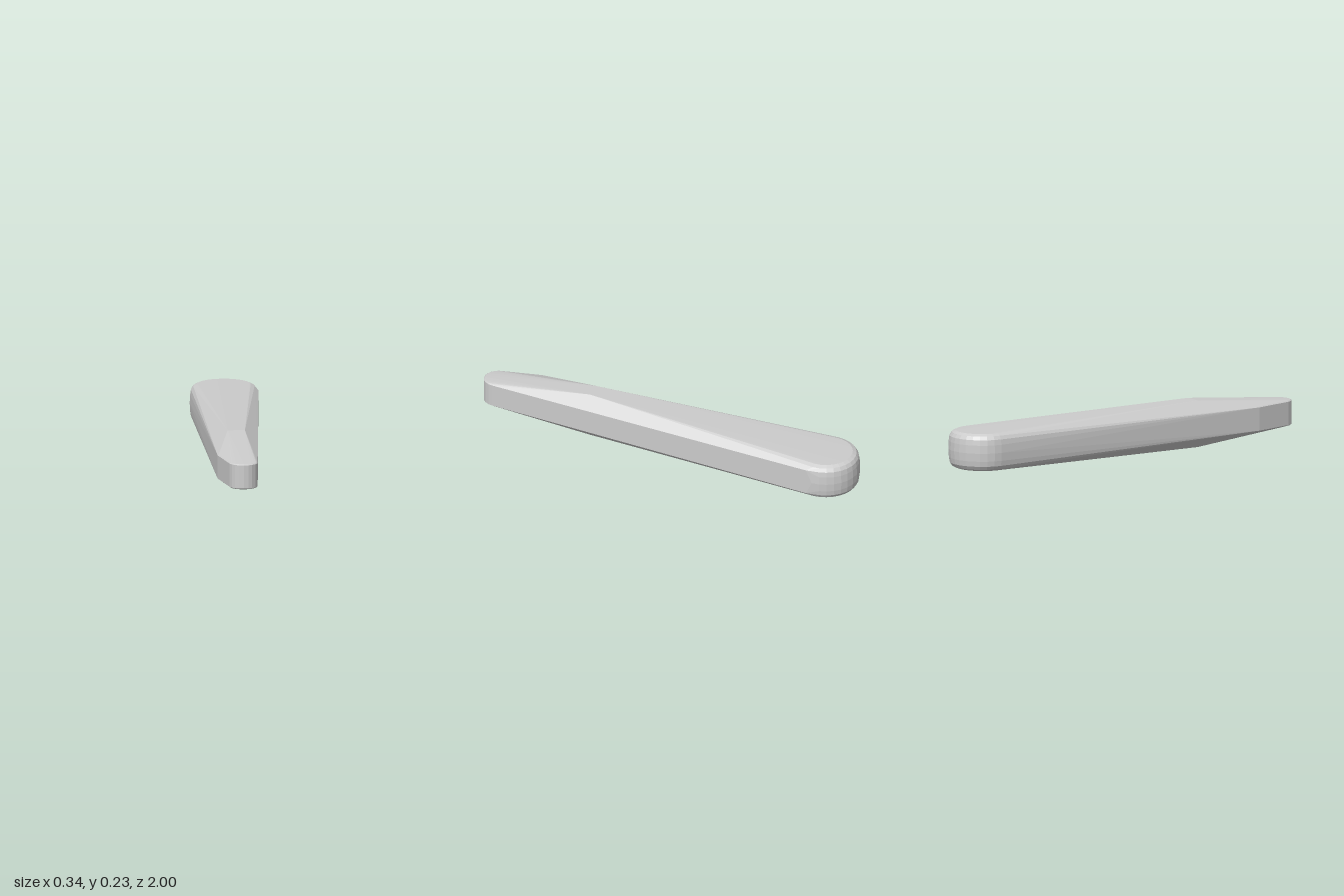
import * as THREE from 'three';
import { ConvexGeometry } from 'three/addons/geometries/ConvexGeometry.js';

const MID = 0.1165; // height of the horizontal symmetry plane

export function createModel() {
  const group = new THREE.Group();
  group.name = 'taperedHandle';
  const points = [];
  const addPair = (x, h, z) => {
    points.push(new THREE.Vector3(x, MID + h, z));
    if (h > 0) points.push(new THREE.Vector3(x, MID - h, z));
  };

  // Broad rounded butt: half-circle rings, [half height, inset]
  const rings = [[0, 0], [0.04, 0.002], [0.066, 0.006], [0.083, 0.017], [0.092, 0.036]];
  for (const [h, inset] of rings) {
    for (let i = 0; i <= 14; i++) {
      const a = (i / 14) * Math.PI;
      const r = 0.168 - inset;
      addPair(Math.cos(a) * r, h, -0.832 - Math.sin(a) * r);
    }
  }
  // Straight wall on the left flank
  addPair(0.168, 0.066, -0.8);

  // Crown ridge where the top and bottom faces break
  for (const x of [-0.035, 0.05]) addPair(x, MID, 0.42);

  // Narrow nose with a small softened rim
  for (const [h, inset] of [[0.058, 0], [0.0625, 0.006]]) {
    for (let i = 0; i <= 10; i++) {
      const a = (i / 10) * Math.PI;
      const r = 0.071 - inset;
      addPair(0.02 + Math.cos(a) * r, h, 0.929 + Math.sin(a) * r);
    }
    // Chamfered shoulder on the right flank
    addPair(-0.098 + inset, h, 0.745);
  }

  const body = new THREE.Mesh(
    new ConvexGeometry(points),
    new THREE.MeshStandardMaterial({ color: 0xcccccc, flatShading: true })
  );
  body.name = 'body';
  group.add(body);
  return group;
}
